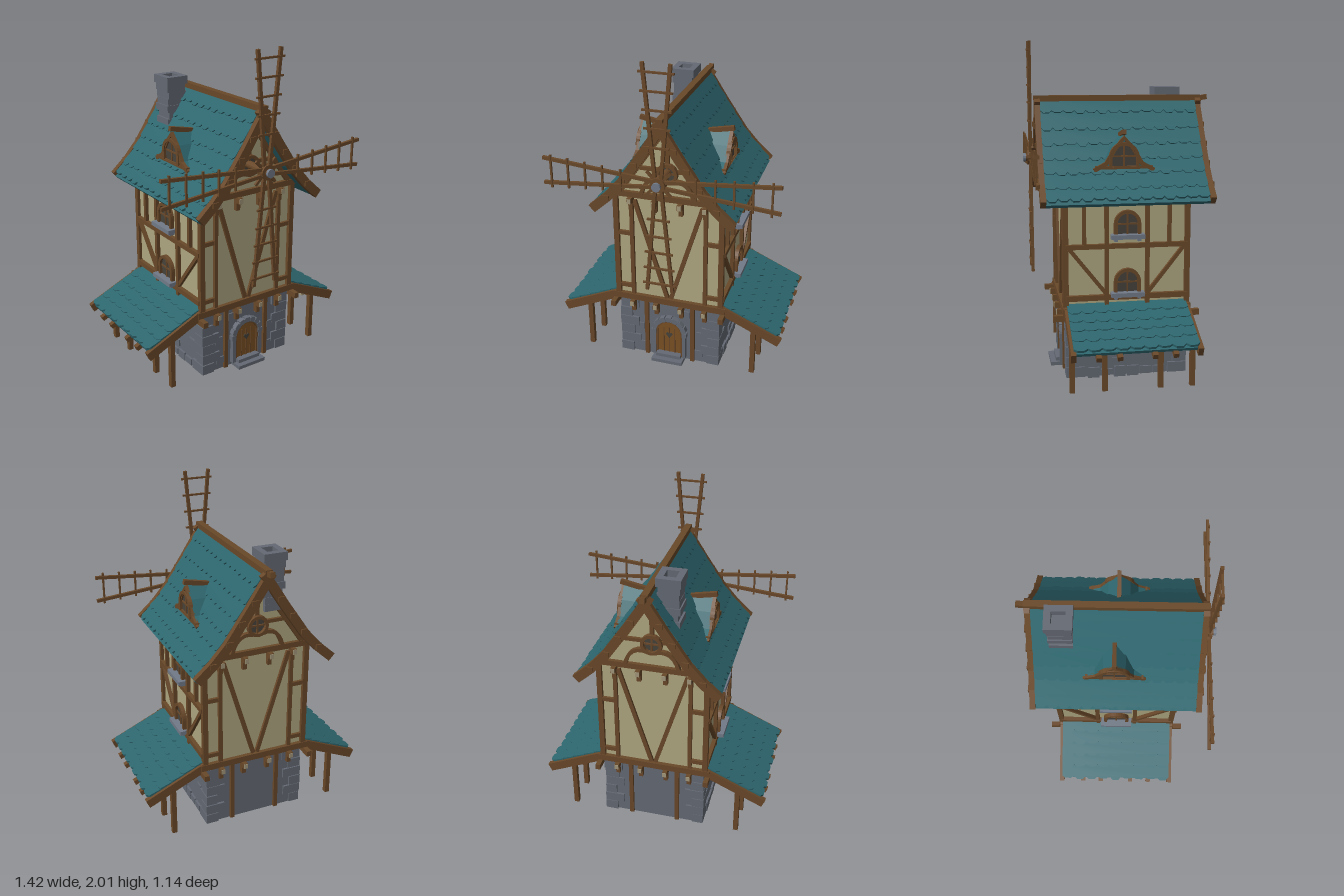
import * as THREE from 'three';

const M = {};
for (const [name, color] of Object.entries({
  plaster: 0xaea680, stone: 0x646973, wood: 0x694829, tile: 0x2d666e,
  glass: 0x46423b, beamEnd: 0xa3977a, doorWood: 0x7a5024, sill: 0x717a88 })) {
  M[name] = new THREE.MeshStandardMaterial({ color });
  M[name].name = name;
}
let seed = 7;
const rnd = () => (seed = (seed * 16807) % 2147483647) / 2147483647;
const V = (x, y, z) => new THREE.Vector3(x, y, z);
const P = (x, y) => new THREE.Vector2(x, y);

function add(parent, name, geo, mat, x = 0, y = 0, z = 0) {
  const m = new THREE.Mesh(geo, M[mat]);
  m.name = name;
  m.position.set(x, y, z);
  parent.add(m);
  return m;
}
function group(parent, name, x = 0, y = 0, z = 0, ry = 0) {
  const g = new THREE.Group();
  g.name = name;
  g.position.set(x, y, z);
  g.rotation.y = ry;
  parent.add(g);
  return g;
}
const box = (p, name, mat, w, h, d, x, y, z) => add(p, name, new THREE.BoxGeometry(w, h, d), mat, x, y, z);
// straight timber between two points
function beam(p, name, a, b, w, d, mat = 'wood') {
  const dir = b.clone().sub(a), c = a.clone().add(b).multiplyScalar(0.5);
  const m = box(p, name, mat, w, dir.length(), d, c.x, c.y, c.z);
  m.quaternion.setFromUnitVectors(V(0, 1, 0), dir.normalize());
  return m;
}
const extrude = (shape, depth) => new THREE.ExtrudeGeometry(shape, { depth, bevelEnabled: false, curveSegments: 8 });
const disc = (r, hole = 0) => {
  const s = new THREE.Shape().absarc(0, 0, r, 0, Math.PI * 2);
  if (hole) s.holes.push(new THREE.Path().absarc(0, 0, hole, 0, Math.PI * 2, true));
  return s;
};
// strip of thickness t below a polyline
function band(pts, t) {
  const low = pts.map((p, i) => {
    const d = pts[Math.min(i + 1, pts.length - 1)].clone().sub(pts[Math.max(i - 1, 0)]).normalize();
    return P(p.x + d.y * t, p.y - d.x * t);
  });
  return new THREE.Shape([...pts, ...low.reverse()]);
}
// round-topped outline standing on y = 0
function arch(w, h, C = THREE.Shape) {
  const s = new C();
  s.moveTo(-w, 0); s.lineTo(w, 0); s.lineTo(w, h - w);
  s.absarc(0, h - w, w, 0, Math.PI);
  s.lineTo(-w, 0);
  return s;
}
function archFrame(w, h, t) {
  const s = arch(w + t, h + t);
  s.holes.push(arch(w, h, THREE.Path));
  return s;
}
function archWindow(p, w, h, x, y, z) {
  const g = group(p, 'archedWindow', x, y, z);
  add(g, 'windowPane', extrude(arch(w, h), 0.008), 'glass');
  add(g, 'windowFrame', extrude(archFrame(w, h, 0.02), 0.025), 'wood');
  box(g, 'windowMullion', 'wood', 0.01, h, 0.012, 0, h / 2, 0.008);
  box(g, 'windowBar', 'wood', w * 2, 0.01, 0.012, 0, h * 0.5, 0.008);
  return g;
}
// one course of shingles on the +x slope, from low to high point
function tileRow(p, low, high, halfZ, n) {
  const up = V(high.x - low.x, high.y - low.y, 0), len = up.length() * 1.12;
  up.normalize();
  const nor = V(up.y, -up.x, 0), w = (halfZ * 2) / n, s = new THREE.Shape();
  s.moveTo(-halfZ, len);
  for (let i = 0; i < n; i++) {
    const u = -halfZ + i * w, j = (rnd() - 0.5) * 0.012;
    s.lineTo(u, 0.012); s.lineTo(u + w * 0.25, j - 0.006); s.lineTo(u + w * 0.75, j - 0.006);
  }
  s.lineTo(halfZ, 0.012); s.lineTo(halfZ, len);
  const m = add(p, 'shingleRow', extrude(s, 0.014), 'tile', low.x + nor.x * 0.01, low.y + nor.y * 0.01);
  m.quaternion.setFromRotationMatrix(new THREE.Matrix4().makeBasis(V(0, 0, -1), up, nor));
  m.rotateX(-0.07);
}

const roofCurve = new THREE.SplineCurve([P(0, 1.64), P(0.13, 1.44), P(0.26, 1.25), P(0.41, 1.09)]);
const HX = 0.335, HZ = 0.365;

function buildRoofHalf(p) {
  const pts = roofCurve.getPoints(10);
  add(p, 'roofDeck', extrude(band(pts, -0.025).clone(), 0.96), 'tile', 0, -0.03, -0.48);
  for (let i = 7; i >= 1; i--) tileRow(p, roofCurve.getPoint(i / 7), roofCurve.getPoint((i - 1) / 7), 0.48, 14);
  // bargeboards with pegs at both gables
  const edge = [P(0, 1.672), P(0.13, 1.47), P(0.26, 1.28), P(0.345, 1.185), P(0.44, 1.10)];
  for (const s of [-1, 1]) {
    add(p, 'bargeboard', extrude(band(edge, 0.055), 0.034), 'wood', 0, 0, s * 0.496 - 0.017);
    for (const [x, y] of [[0.08, 1.5], [0.155, 1.39], [0.23, 1.28], [0.33, 1.165]])
      box(p, 'bargeboardPeg', 'wood', 0.04, 0.03, 0.05, x, y, s * 0.496);
  }
  // dormer
  const d = group(p, 'dormer', 0, 0, 0.01, Math.PI / 2);
  const half = [P(0.185, 1.262), P(0.115, 1.3), P(0.065, 1.385), P(0, 1.455)];
  const bell = [...half, ...half.slice(0, 3).reverse().map(q => P(-q.x, q.y))];
  add(d, 'dormerRoof', extrude(new THREE.Shape([P(-0.185, 1.24), P(0.185, 1.24), ...bell]), 0.2), 'tile', 0, 0, 0.08);
  add(d, 'dormerTrim', extrude(band(bell.slice().reverse(), 0.025), 0.022), 'wood', 0, 0, 0.272);
  box(d, 'dormerSillBeam', 'wood', 0.34, 0.018, 0.025, 0, 1.268, 0.282);
  archWindow(d, 0.07, 0.125, 0, 1.272, 0.276);
  beam(d, 'dormerRidge', V(0, 1.44, 0.11), V(0, 1.478, 0.3), 0.024, 0.028);
}

function buildSideWall(p) {
  const g = group(p, 'sideTimbers', 0, 0, 0, Math.PI / 2), z = HX;
  for (const [y, h] of [[0.435, 0.035], [0.5, 0.032], [0.81, 0.028], [1.12, 0.03]])
    box(g, 'wallRail', 'wood', HZ * 2, h, 0.03, 0, y, z);
  for (const s of [-1, 1]) {
    box(g, 'wallPost', 'wood', 0.025, 0.68, 0.026, s * 0.122, 0.78, z);
    box(g, 'upperStud', 'wood', 0.022, 0.31, 0.024, s * 0.255, 0.96, z);
    beam(g, 'wallBrace', V(s * 0.345, 0.8, z), V(s * 0.125, 0.52, z), 0.022, 0.022);
  }
  for (const y of [0.53, 0.88]) {
    archWindow(g, 0.06, 0.125, 0, y, z);
    box(g, 'windowSill', 'sill', 0.2, 0.026, 0.055, 0, y - 0.01, z + 0.025);
    for (const s of [-1, 1]) box(g, 'sillBracket', 'sill', 0.02, 0.02, 0.035, s * 0.07, y - 0.03, z + 0.015);
  }
}

function buildLeanTo(p) {
  const g = group(p, 'leanTo'), a = P(0.325, 0.445), b = P(0.685, 0.288), n = 5;
  const at = t => a.clone().lerp(b, t);
  add(g, 'leanToDeck', extrude(band([a, b], 0.018), 0.72), 'tile', 0, -0.004, -0.36);
  for (let i = n; i >= 1; i--) tileRow(g, at(i / n), at((i - 1) / n), 0.36, 9);
  for (const z of [-0.362, 0.362])
    beam(g, 'leanToEdgeBoard', V(0.33, 0.427, z), V(0.7, 0.262, z), 0.055, 0.03);
  for (const z of [-0.22, -0.1, 0.1, 0.22])
    beam(g, 'leanToRafter', V(0.33, 0.405, z), V(0.7, 0.248, z), 0.03, 0.03);
  for (const z of [-0.355, -0.165, 0.165, 0.355]) box(g, 'leanToPost', 'wood', 0.03, 0.31, 0.03, 0.535, 0.155, z);
  box(g, 'leanToPurlin', 'wood', 0.03, 0.03, 0.74, 0.535, 0.308, 0);
  box(g, 'wallPlate', 'wood', 0.03, 0.035, 0.88, 0.345, 0.387, 0);
  for (const z of [-0.24, -0.08, 0.08, 0.24]) box(g, 'purlinBlock', 'beamEnd', 0.02, 0.035, 0.03, 0.56, 0.265, z);
}

function buildGableWall(p) {
  const g = group(p, 'gableTimbers'), z = HZ;
  box(g, 'sillBeam', 'wood', 0.72, 0.04, 0.04, 0, 0.425, z);
  box(g, 'tieBeam', 'wood', 0.7, 0.035, 0.035, 0, 1.137, z);
  for (const s of [-1, 1]) {
    box(g, 'cornerPost', 'wood', 0.032, 0.72, 0.032, s * 0.328, 0.78, z);
    box(g, 'gableStud', 'wood', 0.024, 0.68, 0.026, s * 0.23, 0.78, z);
    beam(g, 'gableBrace', V(s * 0.21, 1.1, z), V(s * 0.012, 0.45, z), 0.026, 0.022);
    for (const y of [0.5, 0.87]) box(g, 'shortRail', 'wood', 0.1, 0.026, 0.024, s * 0.28, y, z);
    beam(g, 'gableRafter', V(s * 0.01, 1.575, z), V(s * 0.3, 1.15, z), 0.035, 0.03);
    // curved struts flanking the round window
    const c = new THREE.QuadraticBezierCurve(P(s * 0.15, 1.15), P(s * 0.12, 1.27), P(s * 0.03, 1.24)).getPoints(6);
    add(g, 'curvedStrut', extrude(band(s > 0 ? c : c.reverse(), 0.022), 0.026), 'wood', 0, 0, z);
    beam(g, 'collarStrut', V(s * 0.05, 1.315, z), V(s * 0.2, 1.315, z), 0.022, 0.026);
    for (const x of [0.08, 0.23]) for (const y of [0.39, 1.105]) {
      box(g, 'joist', 'wood', 0.028, 0.035, 0.07, s * x, y, z + 0.012);
      box(g, 'joistEnd', 'beamEnd', 0.024, 0.03, 0.006, s * x, y, z + 0.048);
      box(g, 'corbel', 'wood', 0.026, 0.05, 0.05, s * x, y - 0.04, z - 0.005);
    }
    box(g, 'groundPost', 'wood', 0.026, 0.4, 0.03, s * 0.15, 0.2, z - 0.008);
  }
  box(g, 'kingPost', 'wood', 0.025, 0.21, 0.026, 0, 1.46, z);
  add(g, 'roundWindowPane', extrude(disc(0.05), 0.008), 'glass', 0, 1.3, z);
  add(g, 'roundWindowFrame', extrude(disc(0.065, 0.046), 0.03), 'wood', 0, 1.3, z);
  box(g, 'roundWindowMullion', 'wood', 0.01, 0.095, 0.014, 0, 1.3, z + 0.01);
  box(g, 'roundWindowBar', 'wood', 0.095, 0.01, 0.014, 0, 1.3, z + 0.01);
}

function buildBase(p) {
  const g = group(p, 'stoneBase');
  box(g, 'baseWalls', 'stone', 0.62, 0.42, 0.71, 0, 0.21, 0);
  for (const sx of [-1, 1]) for (const sz of [-1, 1]) for (let i = 0; i < 6; i++) {
    const w = (i % 2 ? 0.11 : 0.07) + rnd() * 0.02, d = (i % 2 ? 0.07 : 0.11) + rnd() * 0.02, o = rnd() * 0.008;
    box(g, 'cornerStone', 'stone', w, 0.062, d, sx * (0.318 + o - w / 2), 0.033 + i * 0.066, sz * (0.363 + o - d / 2));
  }
  for (const s of [-1, 1]) {
    for (let i = 0; i < 6; i++)
      box(g, 'footingStone', 'stone', 0.03, 0.03 + rnd() * 0.04, 0.07, s * 0.308, 0.025, -0.2 + i * 0.08);
    for (const [y, z] of [[0.17, 0.23], [0.18, -0.22], [0.09, 0.06], [0.25, -0.08]])
      box(g, 'wallStone', 'stone', 0.02, 0.045, 0.055, s * 0.308, y, z);
    for (const [x, y] of [[0.19, 0.06], [0.2, 0.2], [0.1, 0.34]])
      box(g, 'wallStone', 'stone', 0.055, 0.045, 0.02, s * x, y, 0.353);
  }
  // door with stone surround and steps
  add(g, 'door', extrude(arch(0.075, 0.25), 0.02), 'doorWood', 0, 0.02, 0.35);
  for (const x of [-0.035, 0, 0.035]) box(g, 'doorBatten', 'wood', 0.006, 0.2, 0.006, x, 0.13, 0.372);
  const heart = new THREE.Shape([P(0, -0.022), P(0.022, 0.008), P(0.012, 0.02), P(0, 0.01), P(-0.012, 0.02), P(-0.022, 0.008)]);
  add(g, 'doorHeart', extrude(heart, 0.004), 'glass', 0, 0.175, 0.374);
  add(g, 'doorFrame', extrude(archFrame(0.075, 0.25, 0.012), 0.03), 'wood', 0, 0.02, 0.35);
  add(g, 'doorSurround', extrude(archFrame(0.087, 0.262, 0.022), 0.035), 'stone', 0, 0.02, 0.35);
  for (let i = 0; i <= 8; i++) {
    const t = (i / 8) * Math.PI;
    box(g, 'archStone', 'stone', 0.032, 0.032, 0.045, Math.cos(t) * 0.1, 0.195 + Math.sin(t) * 0.1, 0.365).rotation.z = t;
  }
  box(g, 'lowerStep', 'stone', 0.2, 0.022, 0.09, 0, 0.011, 0.395);
  box(g, 'upperStep', 'stone', 0.16, 0.022, 0.055, 0, 0.033, 0.38);
}

function buildChimney(p) {
  const g = group(p, 'chimney', -0.1, 0, -0.315);
  for (let i = 0; i < 7; i++) {
    const y = 1.4 + i * 0.042, k = 0.115 + rnd() * 0.012;
    box(g, 'chimneyCourse', 'stone', k, 0.042, k + 0.015, (rnd() - 0.5) * 0.012, y, 0);
  }
  const s = new THREE.Shape([P(-0.073, -0.08), P(0.073, -0.08), P(0.073, 0.08), P(-0.073, 0.08)]);
  s.holes.push(new THREE.Path([P(-0.035, -0.04), P(-0.035, 0.04), P(0.035, 0.04), P(0.035, -0.04)]));
  add(g, 'chimneyCap', extrude(s, 0.05), 'stone', 0, 1.675, 0).rotation.x = -Math.PI / 2;
}

function buildSails(p) {
  const g = group(p, 'sails', 0, 1.305, 0.53);
  add(g, 'axle', extrude(disc(0.024), 0.2), 'wood', 0, 0, -0.17);
  add(g, 'hub', extrude(disc(0.045), 0.05), 'wood', 0, 0, -0.03);
  add(g, 'hubCap', extrude(disc(0.026), 0.016), 'sill', 0, 0, 0.028);
  for (let k = 0; k < 4; k++) {
    const s = group(g, 'sail');
    s.rotation.z = k * Math.PI / 2;
    for (const x of [-1, 1]) beam(s, 'sailRail', V(x * 0.018, 0.03, 0), V(x * 0.078, 0.695, 0), 0.02, 0.018);
    for (const y of [0.22, 0.33, 0.435, 0.54, 0.645])
      box(s, 'sailRung', 'wood', 0.1 + y * 0.16, 0.011, 0.012, 0, y, 0.006);
    beam(s, 'hubSpoke', V(0, 0, -0.01), V(0.07, 0.07, -0.01), 0.016, 0.014);
  }
}

export function createModel() {
  seed = 7;
  const model = new THREE.Group();
  model.name = 'windmillHouse';
  const house = group(model, 'house', 0, 0, -0.01);
  buildBase(house);
  // plastered tower with gables
  const slope = roofCurve.getPoints(10).filter(q => q.x < HX - 0.01).map(q => P(q.x, q.y - 0.025));
  const left = slope.slice(1).reverse().map(q => P(-q.x, q.y));
  const outline = [P(-HX + 0.01, 0.42), P(HX - 0.01, 0.42), P(HX - 0.01, 1.13), ...slope.reverse(), ...left.reverse(), P(-HX + 0.01, 1.13)];
  add(house, 'plasterWalls', extrude(new THREE.Shape(outline), HZ * 2 - 0.01), 'plaster', 0, 0, -HZ + 0.005);
  // matching halves, turned about the middle
  for (const turn of [0, Math.PI]) {
    const h = group(house, 'houseHalf', 0, 0, 0, turn);
    buildRoofHalf(h);
    buildSideWall(h);
    buildLeanTo(h);
    buildGableWall(h);
  }
  box(house, 'ridgeBeam', 'wood', 0.04, 0.04, 1.03, 0, 1.658, 0);
  beam(house, 'ridgeTip', V(0, 1.655, -0.5), V(0, 1.665, -0.558), 0.03, 0.03);
  buildChimney(house);
  buildSails(model);
  return model;
}
